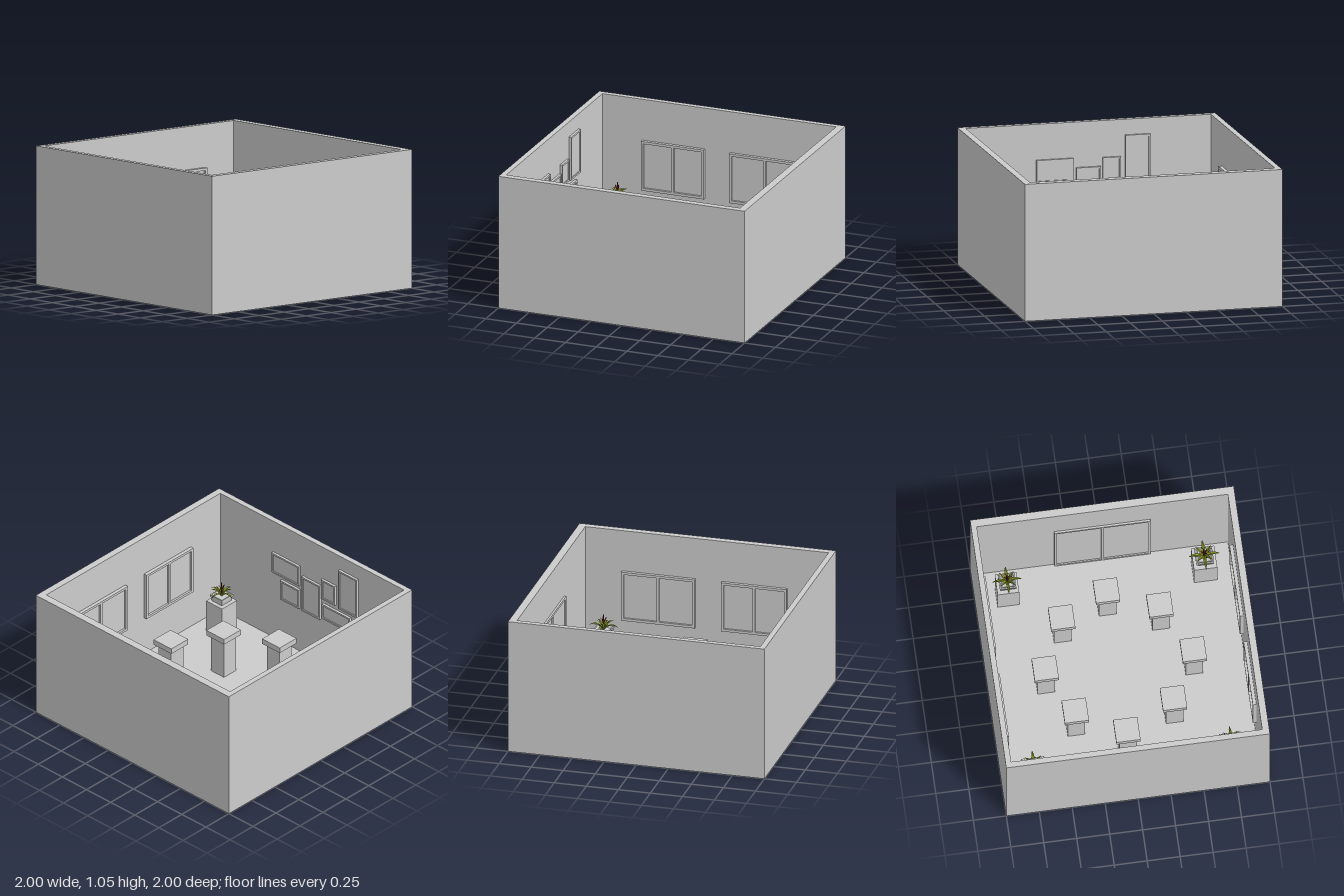
import * as THREE from 'three';

const grey = new THREE.MeshStandardMaterial({ color: 0xcccccc, flatShading: true });
const leafMat = new THREE.MeshStandardMaterial({ color: 0x8c9c26, flatShading: true, side: THREE.DoubleSide });
const petalMat = new THREE.MeshStandardMaterial({ color: 0x7a1f2b, flatShading: true, side: THREE.DoubleSide });

// inner faces of the walls
const IN = { left: -0.957, right: 0.941, back: -0.957, front: 0.947 };
const FLOOR = 0.01;

function add(parent, name, geometry, material = grey) {
  const mesh = new THREE.Mesh(geometry, material);
  mesh.name = name;
  parent.add(mesh);
  return mesh;
}

function box(parent, name, w, h, d, x, y, z) {
  const mesh = add(parent, name, new THREE.BoxGeometry(w, h, d));
  mesh.position.set(x, y, z);
  return mesh;
}

function rectPath(path, x0, y0, x1, y1) {
  path.moveTo(x0, y0);
  path.lineTo(x1, y0);
  path.lineTo(x1, y1);
  path.lineTo(x0, y1);
  path.closePath();
  return path;
}

// A frame with one or more openings side by side and a recessed pane, facing +z
function framed(name, w, h, { bar, depth, pane, lights = 1 }) {
  const group = new THREE.Group();
  group.name = name;
  const shape = rectPath(new THREE.Shape(), -w / 2, 0, w / 2, h);
  const cell = (w - bar) / lights;
  for (let i = 0; i < lights; i++) {
    const x = -w / 2 + bar + i * cell;
    shape.holes.push(rectPath(new THREE.Path(), x, bar, x + cell - bar, h - bar));
  }
  add(group, name + 'Frame', new THREE.ExtrudeGeometry(shape, { depth, bevelEnabled: false }));
  box(group, name + 'Pane', w - bar, h - bar, pane, 0, h / 2, pane / 2);
  return group;
}

// Tapering, arching blade that starts at the origin and grows along +x
function bladeGeometry(length, width, rise, droop) {
  const geo = new THREE.PlaneGeometry(1, 1, 6, 2);
  const p = geo.attributes.position;
  for (let i = 0; i < p.count; i++) {
    const t = p.getX(i) + 0.5;
    const side = p.getY(i) * 2;
    const half = width * 0.5 * (0.45 + 1.6 * t) * (1 - t);
    const y = rise * t - droop * t * t + Math.abs(side) * half * 0.5;
    p.setXYZ(i, length * t, y, -side * half);
  }
  geo.computeVertexNormals();
  return geo;
}

// Square tapered tube from a profile of [half width, height] points
function squareLathe(points) {
  const geo = new THREE.LatheGeometry(points.map(([r, y]) => new THREE.Vector2(r * Math.SQRT2, y)), 4);
  return geo.rotateY(Math.PI / 4);
}

function createPlanter(scale) {
  const planter = new THREE.Group();
  planter.name = 'planter';
  box(planter, 'planterPlinth', 0.176, 0.28, 0.176, 0, 0.14, 0);
  add(planter, 'plantPot', squareLathe([
    [0, 0.28], [0.055, 0.28], [0.062, 0.318], [0.067, 0.318], [0.067, 0.335],
    [0.057, 0.335], [0.045, 0.322], [0, 0.322],
  ]));
  // long blades on the axes, shorter ones on the diagonals, petals in the heart
  const rings = [
    ['longLeaf', bladeGeometry(0.122, 0.036, 0.14, 0.12), leafMat, 4, 0, 0.322],
    ['shortLeaf', bladeGeometry(0.085, 0.032, 0.13, 0.075), leafMat, 4, Math.PI / 4, 0.322],
    ['innerLeaf', bladeGeometry(0.05, 0.024, 0.1, 0.03), leafMat, 4, 0.3, 0.33],
    ['petal', bladeGeometry(0.028, 0.018, 0.07, 0.02), petalMat, 5, 0.2, 0.37],
  ];
  for (const [name, geo, mat, count, start, y] of rings) {
    for (let i = 0; i < count; i++) {
      const blade = add(planter, name, geo, mat);
      blade.position.y = y;
      blade.rotation.y = start + (i / count) * Math.PI * 2;
    }
  }
  const stem = add(planter, 'flowerStem', new THREE.CylinderGeometry(0.004, 0.006, 0.105, 5), petalMat);
  stem.position.y = 0.39;
  planter.scale.set(scale, 1, scale);
  return planter;
}

export function createModel() {
  const room = new THREE.Group();
  room.name = 'galleryRoom';

  // Walls as one open ring, and the floor
  const plan = rectPath(new THREE.Shape(), -1, -1, 1, 1);
  plan.holes.push(rectPath(new THREE.Path(), IN.left, -IN.front, IN.right, -IN.back));
  add(room, 'walls', new THREE.ExtrudeGeometry(plan, { depth: 1.055, bevelEnabled: false }).rotateX(-Math.PI / 2));
  box(room, 'floor', IN.right - IN.left, FLOOR, IN.front - IN.back,
    (IN.left + IN.right) / 2, FLOOR / 2, (IN.front + IN.back) / 2);

  // Two-light windows on the back and front walls
  for (const [z, turn] of [[IN.back, 0], [IN.front, Math.PI]]) {
    for (const [x0, x1] of [[-0.635, -0.125], [0.08, 0.655]]) {
      const win = framed('window', x1 - x0, 0.395, { bar: 0.02, depth: 0.027, pane: 0.01, lights: 2 });
      win.position.set((x0 + x1) / 2, 0.333, z);
      win.rotation.y = turn;
      room.add(win);
    }
  }

  // Double door on the +x wall
  const door = framed('doubleDoor', 0.73, 0.727 - FLOOR, { bar: 0.02, depth: 0.016, pane: 0.006, lights: 2 });
  door.position.set(IN.right, FLOOR, -0.005);
  door.rotation.y = -Math.PI / 2;
  room.add(door);

  // Group of pictures on the -x wall: z range, y range
  const pictures = [
    [-0.485, -0.29, 0.59, 0.935],
    [-0.255, -0.115, 0.6, 0.772],
    [-0.41, -0.12, 0.425, 0.555],
    [-0.1, 0.09, 0.4, 0.705],
    [0.115, 0.4, 0.605, 0.78],
    [0.115, 0.31, 0.4, 0.57],
  ];
  for (const [z0, z1, y0, y1] of pictures) {
    const picture = framed('picture', z1 - z0, y1 - y0, { bar: 0.014, depth: 0.02, pane: 0.012 });
    picture.position.set(IN.left, y0, (z0 + z1) / 2);
    picture.rotation.y = Math.PI / 2;
    room.add(picture);
  }

  // Ring of eight display stands
  const stands = [
    [-0.005, -0.568], [0.383, -0.39], [0.55, -0.027], [0.383, 0.355],
    [-0.005, 0.555], [-0.37, 0.355], [-0.575, -0.027], [-0.37, -0.39],
  ];
  for (const [x, z] of stands) {
    const stand = new THREE.Group();
    stand.name = 'displayStand';
    box(stand, 'standColumn', 0.132, 0.33, 0.132, 0, 0.165, 0);
    box(stand, 'standTop', 0.183, 0.045, 0.183, 0, 0.3525, 0);
    stand.position.set(x, 0, z);
    room.add(stand);
  }

  // Planters in the corners
  for (const [x, z, s] of [[-0.753, -0.755, 1], [0.74, -0.755, 0.93], [-0.753, 0.74, 0.93], [0.74, 0.74, 1]]) {
    const planter = createPlanter(s);
    planter.position.set(x, 0, z);
    room.add(planter);
  }

  return room;
}
